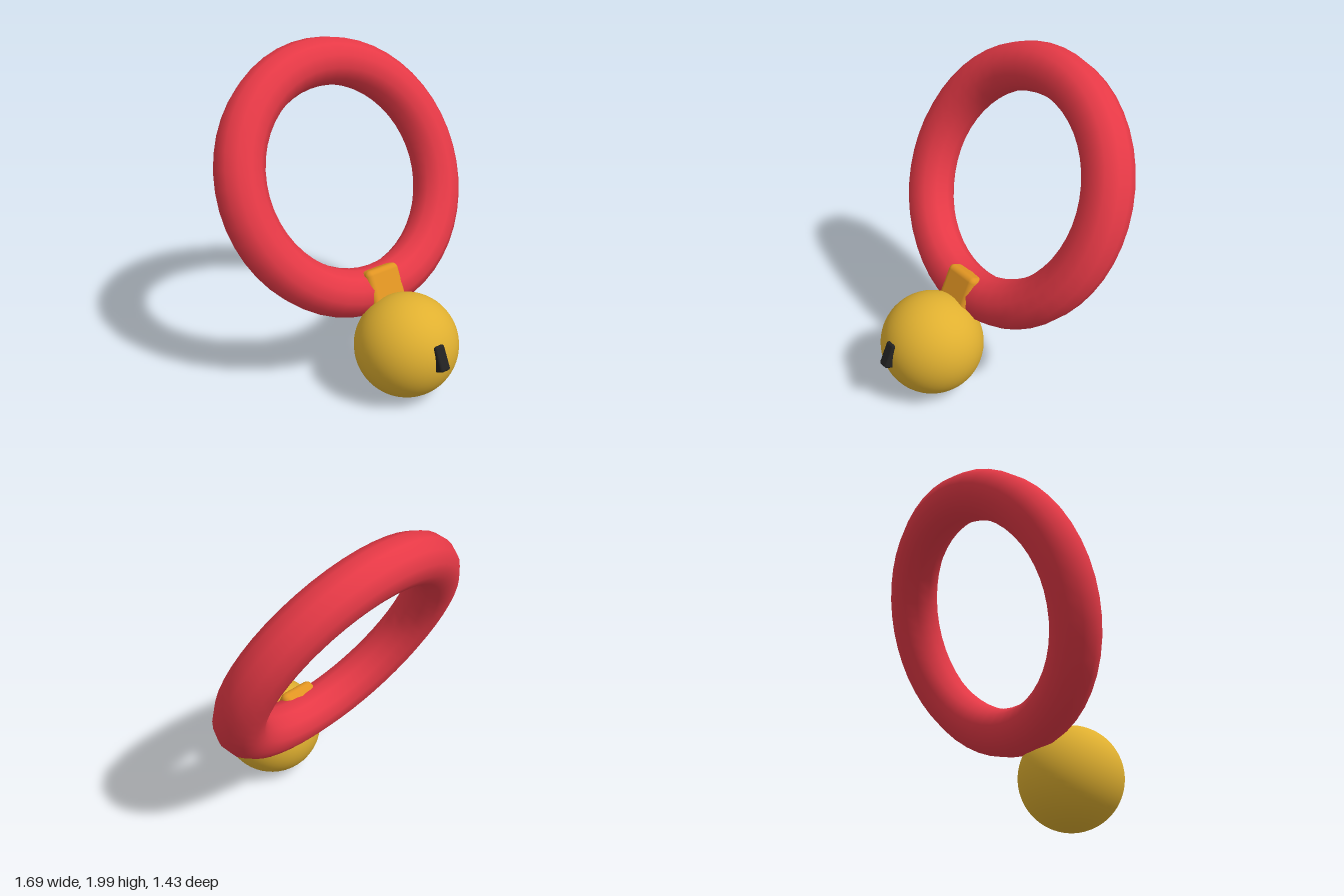
import * as THREE from 'three';
import { RoundedBoxGeometry } from 'three/addons/geometries/RoundedBoxGeometry.js';

function material(name, color) {
  const m = new THREE.MeshStandardMaterial({ color });
  m.name = name;
  return m;
}

export function createModel() {
  const red = material('collar red', 0xe63946);
  const gold = material('bell gold', 0xe0b030);
  const orange = material('clasp orange', 0xe09422);
  const black = material('slot black', 0x222222);

  // The whole collar leans back and is turned slightly to its left
  const collar = new THREE.Group();
  collar.name = 'belledCollar';
  const normal = new THREE.Vector3(0.14, 0.425, 0.894).normalize();
  const up = new THREE.Vector3(0, 1, 0).addScaledVector(normal, -normal.y).normalize();
  const side = new THREE.Vector3().crossVectors(up, normal);
  collar.quaternion.setFromRotationMatrix(new THREE.Matrix4().makeBasis(side, up, normal));
  collar.position.set(0, 1.21, -0.255);

  const add = (name, geometry, mat, x, y, z) => {
    const mesh = new THREE.Mesh(geometry, mat);
    mesh.name = name;
    mesh.position.set(x, y, z);
    collar.add(mesh);
  };

  const R = 0.709, r = 0.148;
  add('ring', new THREE.TorusGeometry(R, r, 12, 48), red, 0, 0, 0);

  // Clasp wraps the front of the ring just above the bell
  add('clasp', new RoundedBoxGeometry(0.24, 0.24, 0.2, 3, 0.035), orange, -0.008, -R + 0.01, 0.052);

  // Round bell with a raised dark slot
  add('bell', new THREE.SphereGeometry(0.315, 48, 32), gold, -0.01, -1.066, 0.175);
  add('bellSlot', new RoundedBoxGeometry(0.07, 0.155, 0.08, 3, 0.015), black, -0.018, -1.146, 0.465);

  const model = new THREE.Group();
  model.name = 'model';
  model.add(collar);
  return model;
}
